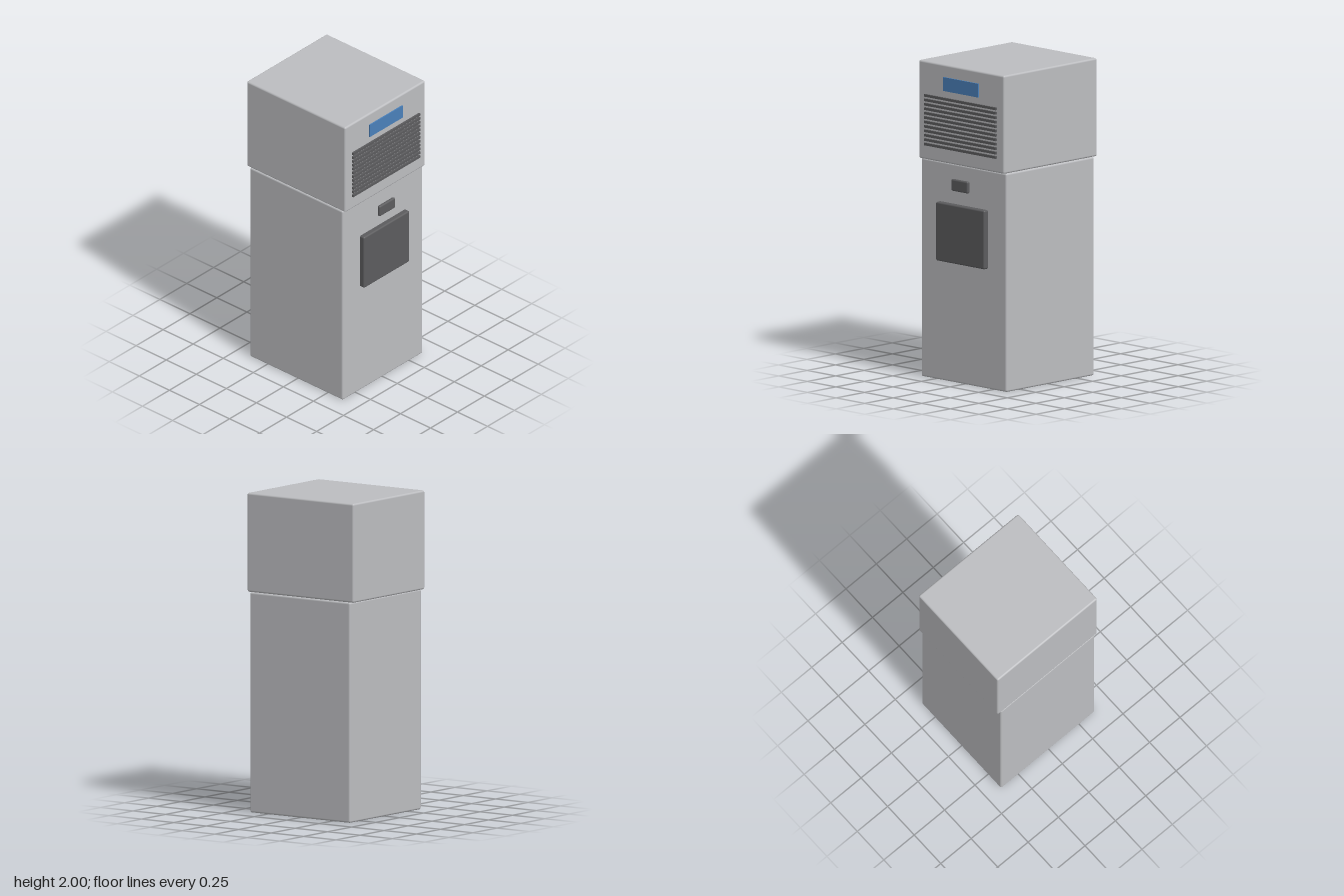
import * as THREE from 'three';
import { RoundedBoxGeometry } from 'three/addons/geometries/RoundedBoxGeometry.js';

function material(name, color) {
  const m = new THREE.MeshStandardMaterial({ color });
  m.name = name;
  return m;
}

export function createModel() {
  const group = new THREE.Group();
  const casing = material('light grey casing', 0xbcbdc0);
  const dark = material('dark grey trim', 0x5c5c5e);
  const blue = material('blue display', 0x4a80ba);

  // Box given by its limits; a radius above zero rounds the edges
  function box(name, mat, [x0, x1], [y0, y1], [z0, z1], radius = 0) {
    const size = [x1 - x0, y1 - y0, z1 - z0];
    const geometry = radius
      ? new RoundedBoxGeometry(...size, 3, radius)
      : new THREE.BoxGeometry(...size);
    const mesh = new THREE.Mesh(geometry, mat);
    mesh.name = name;
    mesh.position.set((x0 + x1) / 2, (y0 + y1) / 2, (z0 + z1) / 2);
    group.add(mesh);
  }

  // Cabinet: tall base with a slightly deeper head overhanging front and back
  box('lowerCabinet', casing, [-0.373, 0.373], [0, 1.38], [-0.393, 0.38], 0.012);
  box('upperCabinet', casing, [-0.373, 0.373], [1.38, 2], [-0.42, 0.401], 0.012);

  // Display window
  box('display', blue, [-0.153, 0.153], [1.835, 1.922], [0.4, 0.409]);

  // Vent slats
  const slats = 12;
  for (let i = 0; i < slats; i++) {
    const y = 1.478 + i * 0.0279;
    box('ventSlat', dark, [-0.312, 0.312], [y - 0.008, y + 0.008], [0.398, 0.413]);
  }

  // Handle standing off the base, and the front hatch
  box('handle', dark, [-0.073, 0.073], [1.217, 1.292], [0.398, 0.42], 0.01);
  box('hatch', dark, [-0.212, 0.212], [0.757, 1.128], [0.36, 0.414], 0.01);

  return group;
}
